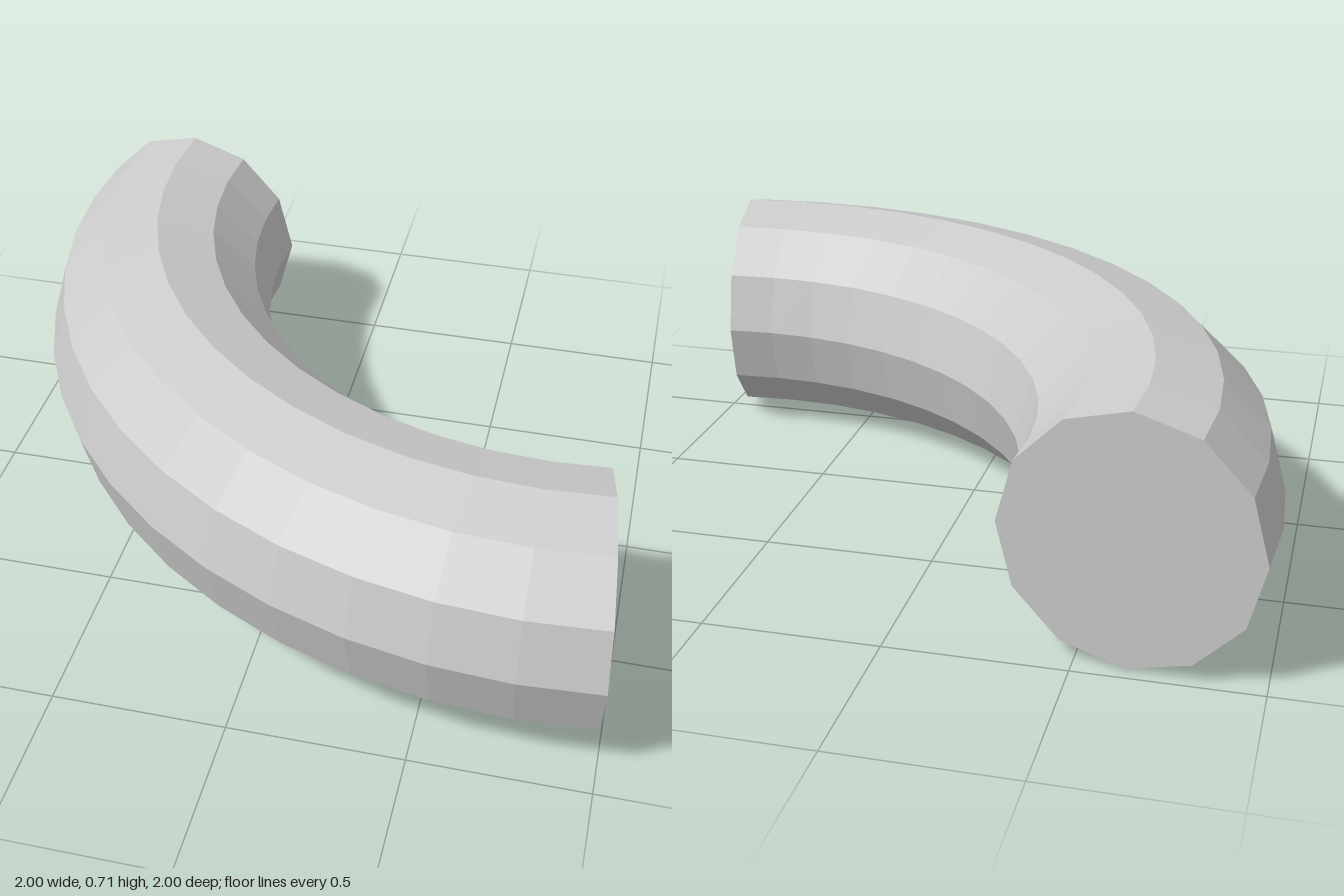
import * as THREE from 'three';

const SIDES = 12, SEGMENTS = 14;
const STEP = THREE.MathUtils.degToRad(7.5);
const START = 11 * STEP, ARC = SEGMENTS * STEP;   // 105 degree bend, 7.5 past the quarter turn at each end
const TUBE = 0.354, RADIUS = 4 * TUBE;
const CENTRE = RADIUS + TUBE - 1;                 // bend centre, puts the outer wall at x = -1 and z = 1

export function createModel() {
  const model = new THREE.Group();
  model.name = 'pipeBend';
  const material = new THREE.MeshStandardMaterial({ color: 0xcccccc, flatShading: true });

  // Lay a part drawn in the xy plane flat on the ground, around the bend centre
  const add = (geometry, angle, name) => {
    geometry.rotateZ(angle).rotateX(Math.PI / 2).translate(CENTRE, TUBE, -CENTRE);
    const mesh = new THREE.Mesh(geometry, material);
    mesh.name = name;
    model.add(mesh);
  };

  // Curved wall
  add(new THREE.TorusGeometry(RADIUS, TUBE, SIDES, SEGMENTS, ARC), START, 'bendWall');

  // Flat end caps, facing away from the wall
  const cap = (facing) => new THREE.CircleGeometry(TUBE, SIDES)
    .rotateX(-facing * Math.PI / 2).translate(RADIUS, 0, 0);
  add(cap(-1), START, 'leftEndCap');
  add(cap(1), START + ARC, 'backEndCap');

  return model;
}
